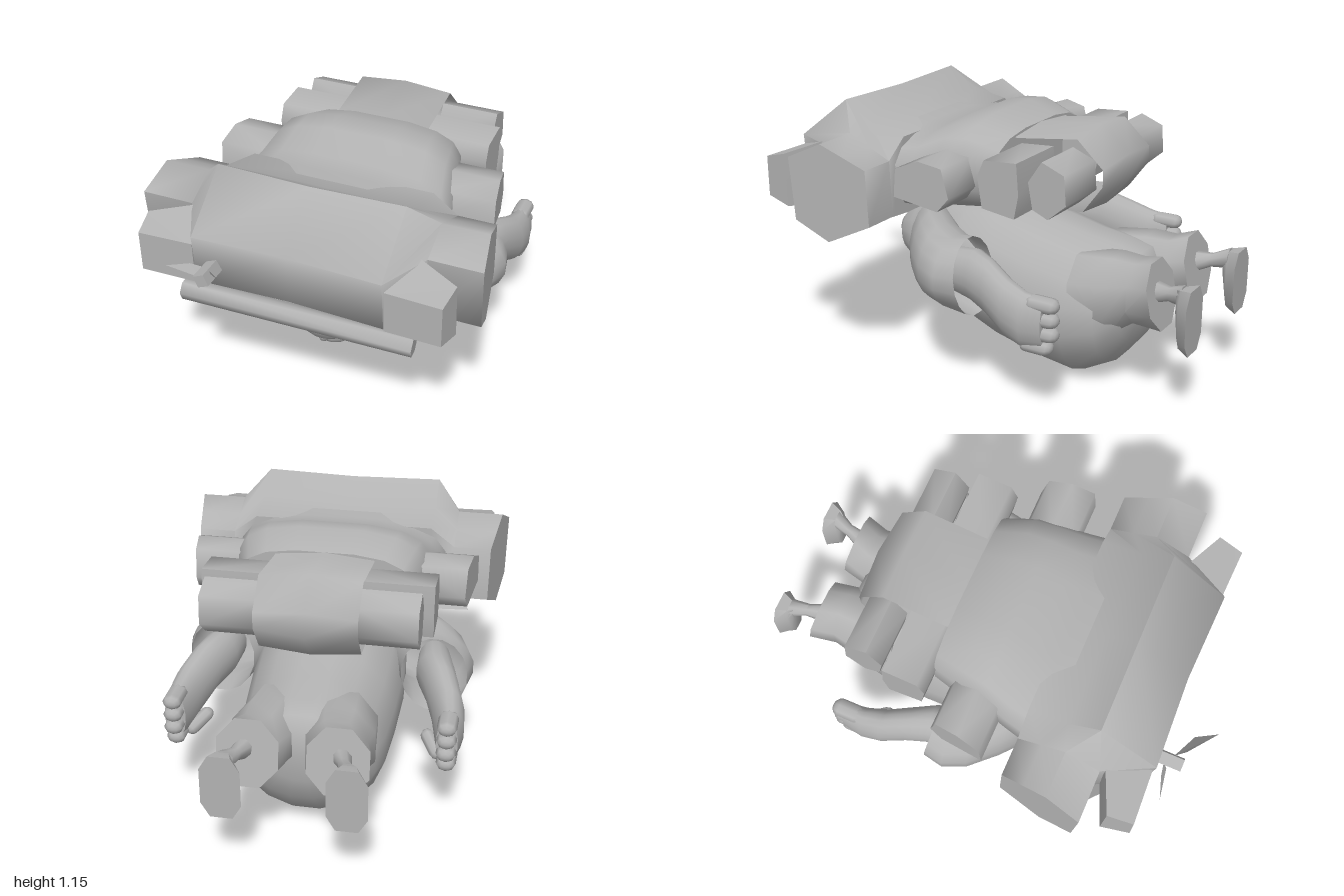
import * as THREE from 'three';
import { toCreasedNormals } from 'three/addons/utils/BufferGeometryUtils.js';

const grey = new THREE.MeshStandardMaterial({ color: 0xb2b2b2, side: THREE.DoubleSide });
grey.name = 'plain grey';

// Superellipse ring across z: centre, half width, half height, power, lean of z with height
function ring(x, y, z, a, b, p = 2, lean = 0, n = 16) {
  const pts = [];
  for (let i = 0; i < n; i++) {
    const t = (i + 0.5) / n * Math.PI * 2, c = Math.cos(t), s = Math.sin(t);
    const dy = b * Math.sign(s) * Math.abs(s) ** (2 / p);
    pts.push([x + a * Math.sign(c) * Math.abs(c) ** (2 / p), y + dy, z + lean * dy]);
  }
  return pts;
}

// Skin over a run of rings, with flat caps, turned to face outwards
function skin(rings, capStart = true, capEnd = true, crease = 0.8) {
  const n = rings[0].length, tris = [];
  for (let r = 0; r < rings.length - 1; r++) {
    for (let i = 0; i < n; i++) {
      const j = (i + 1) % n, A = rings[r], B = rings[r + 1];
      tris.push([A[i], A[j], B[j]], [A[i], B[j], B[i]]);
    }
  }
  const cap = (R, flip) => {
    const m = [0, 1, 2].map(k => R.reduce((sum, p) => sum + p[k], 0) / n);
    R.forEach((p, i) => tris.push(flip ? [m, R[(i + 1) % n], p] : [m, p, R[(i + 1) % n]]));
  };
  if (capStart) cap(rings[0], true);
  if (capEnd) cap(rings[rings.length - 1], false);
  const o = new THREE.Vector3(...rings[0][0]);
  let volume = 0;
  for (const t of tris) {
    const [a, b, c] = t.map(p => new THREE.Vector3(...p).sub(o));
    volume += a.dot(b.cross(c));
  }
  if (volume < 0) tris.forEach(t => t.reverse());
  const g = new THREE.BufferGeometry();
  g.setAttribute('position', new THREE.Float32BufferAttribute(tris.flat(2), 3));
  return toCreasedNormals(g, crease);
}

export function createModel() {
  const model = new THREE.Group();
  const add = (name, geo) => {
    const mesh = new THREE.Mesh(geo, grey);
    mesh.name = name;
    model.add(mesh);
    return mesh;
  };
  const loft = (name, rows, a = true, b = true) => add(name, skin(rows.map(r => ring(...r)), a, b, 1));
  const slab = (x, zy) => zy.map(([z, y]) => [typeof x === 'function' ? x(z) : x, y, z]);

  // Wide front barrel of the flying machine, narrowing into an end pod on each side
  const big = [[0.8, 0.74], [0.82, 0.96], [0.57, 1.15], [0.44, 1.06], [0.27, 1.03], [0.26, 0.7], [0.56, 0.61]];
  const mid = big.map(([z, y]) => [z - (z > 0.7 ? 0.015 : 0), y - (y > 1.1 ? 0.01 : 0)]);
  const pod = [[0.6, 0.7], [0.62, 0.97], [0.47, 1.04], [0.37, 0.995], [0.27, 0.95], [0.26, 0.71], [0.45, 0.62]];
  const tip = s => z => s * (0.66 + (z - 0.26) * 0.17);
  add('frontBarrel', skin([
    slab(tip(-1), pod), slab(-0.5, pod), slab(-0.395, big), slab(0, mid),
    slab(0.395, big), slab(0.5, pod), slab(tip(1), pod)], true, true, 1.12));

  // Rounded middle of the machine
  loft('middleHull', [
    [0, 0.86, 0.5, 0.44, 0.2, 3], [0, 0.86, 0.3, 0.475, 0.185, 3], [0, 0.88, 0.2, 0.455, 0.17, 3],
    [0, 0.91, 0.08, 0.425, 0.2, 3], [0, 0.92, -0.02, 0.41, 0.2, 3], [0, 0.9, -0.16, 0.37, 0.17, 3]]);

  // Tail: a bent band, open at the sides
  const band = [[-0.1, 1.08], [-0.17, 1.065], [-0.45, 1.1], [-0.58, 0.99], [-0.58, 0.88], [-0.48, 0.76], [-0.1, 0.74]];
  const inner = band.map(([z, y]) => [z < -0.5 ? z + 0.012 : z, y + (y > 0.93 ? -0.02 : 0.02)]);
  add('tailBand', skin([slab(-0.21, inner), slab(0, band), slab(0.21, inner)], false, false, 1));

  for (const s of [-1, 1]) {
    // Tapered block beside the barrel's front
    add('frontBlock', skin([
      slab(s * 0.4, [[0.81, 0.74], [0.81, 0.92], [0.6, 0.99], [0.6, 0.7]]),
      slab(z => s * (0.65 - (z - 0.7) * 0.15), [[0.82, 0.745], [0.82, 0.92], [0.71, 0.95], [0.7, 0.72]])], true, true, 0.4));

    // Small side pod
    const side = [[0.16, 0.85], [0.15, 0.97], [0.05, 1.01], [-0.05, 0.99], [-0.08, 0.87], [-0.03, 0.81]];
    add('sidePod', skin([slab(s * 0.36, side), slab(z => s * (0.595 + z * 0.15), side)], true, true, 1.15));

    // Two tail cylinders
    const first = [[-0.17, 0.82], [-0.15, 0.95], [-0.18, 1.02], [-0.33, 1.03], [-0.34, 0.9], [-0.32, 0.8]];
    const second = [[-0.36, 0.95], [-0.42, 1.04], [-0.52, 1.0], [-0.53, 0.88], [-0.45, 0.81], [-0.38, 0.84]];
    for (const [profile, reach] of [[first, 0.48], [second, 0.44]]) {
      add('tailCylinder', skin([slab(s * 0.19, profile), slab(s * reach, profile)], true, true, 1.3));
    }

    // Shoulder and sleeve, open at the cuff
    loft('sleeve', [
      [s * 0.1, 0.51, 0.36, 0.1, 0.14], [s * 0.22, 0.52, 0.27, 0.16, 0.18],
      [s * 0.32, 0.53, 0.18, 0.17, 0.175], [s * 0.42, 0.53, 0.07, 0.175, 0.16],
      [s * 0.465, 0.52, -0.03, 0.17, 0.15], [s * 0.47, 0.515, -0.12, 0.145, 0.165, 2, 0.12]], true, false);

    // Forearm and fist, bowing outwards
    loft('forearm', [
      [s * 0.46, 0.53, 0, 0.07, 0.09], [s * 0.48, 0.53, -0.14, 0.085, 0.11],
      [s * 0.515, 0.51, -0.23, 0.075, 0.115], [s * 0.555, 0.46, -0.34, 0.07, 0.12],
      [s * 0.57, 0.43, -0.43, 0.062, 0.12], [s * 0.57, 0.43, -0.52, 0.045, 0.11]]);
    for (let i = 0; i < 4; i++) {
      const finger = add('finger', new THREE.CapsuleGeometry(0.033, 0.08, 3, 8));
      finger.scale.x = 1.25;
      finger.rotation.x = Math.PI / 2;
      finger.position.set(s * 0.57, 0.335 + i * 0.06, -0.48 - (i > 0 ? 0.025 : 0));
    }
    const thumb = add('thumb', new THREE.CapsuleGeometry(0.03, 0.09, 3, 8));
    thumb.rotation.set(1.2, 0, s * 0.5);
    thumb.position.set(s * 0.5, 0.35, -0.41);

    // Trouser leg, thin ankle and foot
    loft('trouserLeg', [
      [s * 0.14, 0.41, -0.45, 0.15, 0.19, 2, 0, 8], [s * 0.15, 0.44, -0.62, 0.155, 0.18, 2, 0, 8],
      [s * 0.155, 0.475, -0.72, 0.135, 0.14, 2, 0, 8], [s * 0.18, 0.49, -0.83, 0.135, 0.15, 2, 0.2, 8]]);
    loft('ankle', [
      [s * 0.19, 0.5, -0.8, 0.045, 0.05, 2, 0, 8], [s * 0.215, 0.515, -0.88, 0.028, 0.03, 2, 0, 8],
      [s * 0.24, 0.53, -0.95, 0.04, 0.045, 2, 0, 8]]);
    loft('foot', [
      [s * 0.24, 0.5, -0.93, 0.03, 0.06, 3, 0, 8], [s * 0.245, 0.44, -0.95, 0.05, 0.13, 3, 0, 8],
      [s * 0.245, 0.435, -1, 0.085, 0.145, 3, 0, 8]]);

    // Cheek
    const cheek = add('cheek', new THREE.SphereGeometry(0.05, 10, 8));
    cheek.position.set(s * 0.07, 0.365, 0.42);
  }

  // Round torso and belly, running forward into the bowed head
  loft('torsoAndHead', [
    [0, 0.47, 0.56, 0.05, 0.05], [0, 0.46, 0.52, 0.1, 0.105], [0, 0.455, 0.45, 0.135, 0.155],
    [0, 0.455, 0.37, 0.16, 0.195], [0, 0.455, 0.3, 0.23, 0.235],
    [0, 0.45, 0.22, 0.29, 0.255], [0, 0.435, 0.1, 0.33, 0.29], [0, 0.405, -0.05, 0.34, 0.325],
    [0, 0.35, -0.25, 0.33, 0.325], [0, 0.315, -0.43, 0.315, 0.32], [0, 0.345, -0.58, 0.295, 0.268],
    [0, 0.39, -0.67, 0.24, 0.2], [0, 0.42, -0.71, 0.14, 0.12]]);

  // Jaw and nose
  const jaw = add('jaw', new THREE.SphereGeometry(1, 14, 10));
  jaw.scale.set(0.1, 0.07, 0.1);
  jaw.position.set(0, 0.315, 0.36);
  const nose = add('nose', new THREE.SphereGeometry(1, 10, 8));
  nose.scale.set(0.03, 0.055, 0.04);
  nose.position.set(0, 0.365, 0.475);

  // Slanted bar under the front
  const from = new THREE.Vector3(-0.5, 0.63, 0.74), to = new THREE.Vector3(0.47, 0.575, 0.66);
  const bar = add('bar', toCreasedNormals(new THREE.CylinderGeometry(0.048, 0.045, from.distanceTo(to), 6), 1.15));
  bar.position.copy(from).lerp(to, 0.5);
  bar.quaternion.setFromUnitVectors(new THREE.Vector3(0, 1, 0), to.clone().sub(from).normalize());

  // Thin plates: flap beside the bar, and a small two-bladed propeller
  const plate = (name, a, b, c, d) => {
    const g = new THREE.BufferGeometry();
    g.setAttribute('position', new THREE.Float32BufferAttribute([a, b, c, a, c, d].flat(), 3));
    g.computeVertexNormals();
    add(name, g);
  };
  plate('flap', [-0.56, 0.5, 0.57], [-0.24, 0.49, 0.56], [-0.32, 0.59, 0.66], [-0.48, 0.59, 0.66]);
  plate('blade', [-0.34, 0.81, 0.86], [-0.33, 0.85, 0.84], [-0.39, 0.86, 0.85], [-0.48, 0.845, 0.88]);
  plate('blade', [-0.29, 0.85, 0.87], [-0.18, 0.84, 0.92], [-0.16, 0.93, 1], [-0.27, 0.9, 0.91]);
  const hub = add('propellerHub', new THREE.BoxGeometry(0.05, 0.05, 0.12));
  hub.position.set(-0.31, 0.84, 0.855);
  hub.rotation.z = 0.4;

  return model;
}
